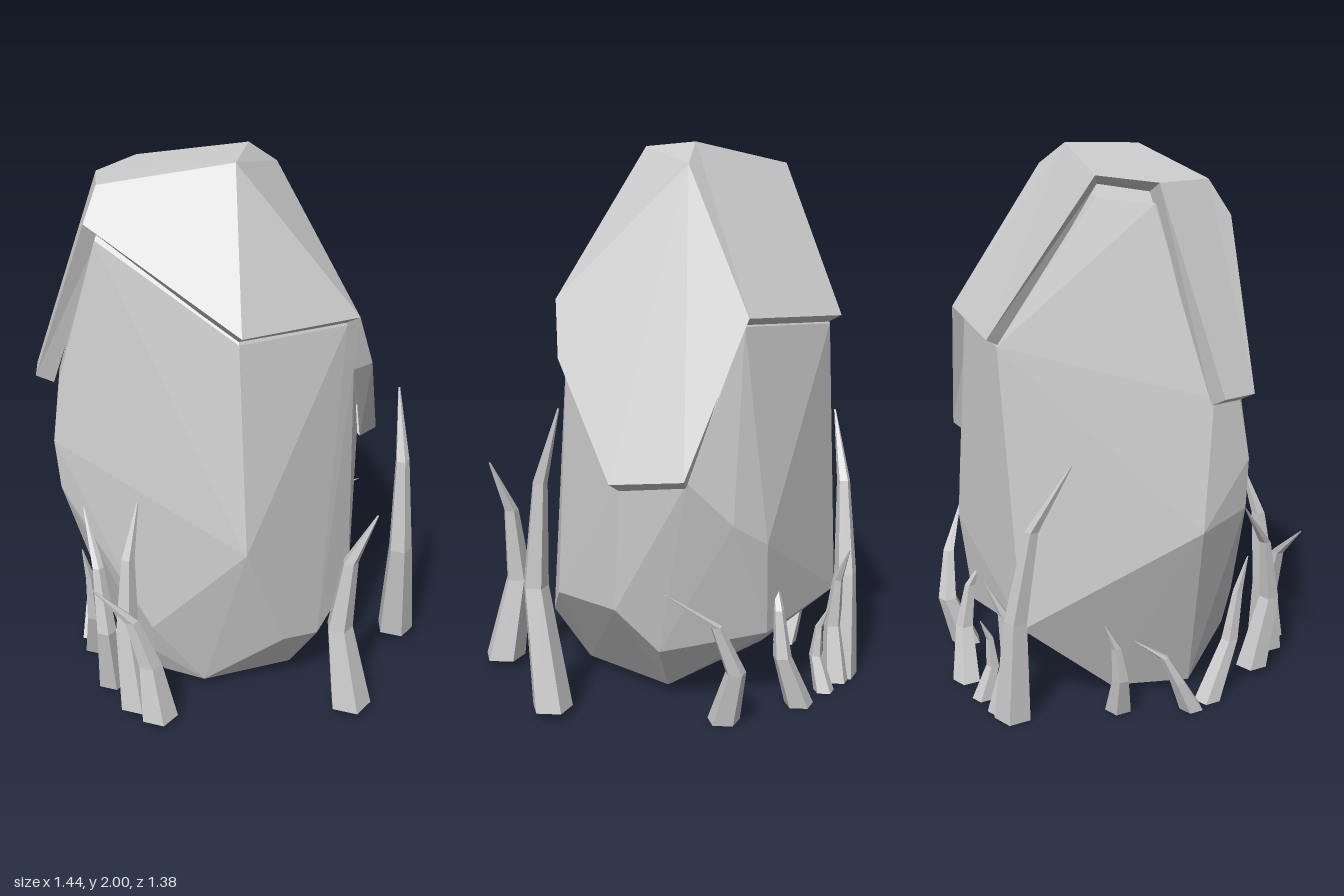
import * as THREE from 'three';
import { ConvexGeometry } from 'three/addons/geometries/ConvexGeometry.js';

const V = (x, y, z) => new THREE.Vector3(x, y, z);
const material = new THREE.MeshStandardMaterial({ color: 0xcccccc, flatShading: true });
const capMaterial = new THREE.MeshStandardMaterial({ color: 0xcccccc, flatShading: true, side: THREE.DoubleSide });

// Corners of the slab that covers the top of the boulder
const cap = {
  A: V(-0.02, 1.99, 0.14), B: V(0.105, 2.0, -0.11), C: V(0.22, 1.92, -0.13),
  D: V(-0.475, 1.91, -0.01), D2: V(-0.435, 1.91, -0.21), E: V(-0.26, 1.93, -0.33),
  F: V(-0.535, 1.79, 0.04), G: V(-0.09, 1.47, 0.445), H: V(0.39, 1.45, 0.31),
  I: V(0.465, 1.25, 0.265), J: V(0.61, 0.85, 0), K: V(0.597, 0.88, -0.27),
  L: V(0.39, 1.41, -0.42), M: V(-0.03, 1.39, -0.62),
  P: V(-0.72, 1.22, -0.04), P2: V(-0.695, 1.22, -0.165),
};
const capFaces = ['A B E D2 D', 'A D F G', 'A G H', 'A H C', 'A C B', 'C H I J K L', 'B C L M E', 'D D2 P2 P F'];
const capRim = 'F G H I J K L M E D2 P2 P'.split(' ');
const centre = V(-0.05, 1, -0.08);

// Rim corner moved in and down, giving the slab its thickness
function inner(p) {
  const inward = V(centre.x - p.x, 0, centre.z - p.z).setLength(0.065);
  return p.clone().add(inward).add(V(0, -0.035, 0));
}

function makeCap() {
  const points = [];
  const polygon = (c) => {
    for (let i = 1; i < c.length - 1; i++) points.push(c[0], c[i], c[i + 1]);
  };
  capFaces.forEach((f) => polygon(f.split(' ').map((k) => cap[k])));
  capRim.forEach((k, i) => {
    const a = cap[k], b = cap[capRim[(i + 1) % capRim.length]];
    polygon([a, inner(a), inner(b), b]);
  });
  const g = new THREE.BufferGeometry().setFromPoints(points);
  g.computeVertexNormals();
  return new THREE.Mesh(g, capMaterial);
}

// Boulder: convex stone with its top tucked just under the slab
function makeBoulder() {
  const top = 'A B C D D2 E F G H L M'.split(' ').map((k) => cap[k].clone().lerp(centre, 0.08));
  const sides = [
    [-0.1, 0.69, 0.545], [0.065, 0.27, 0.49], [0.22, 0.23, 0.43], [0.385, 0.36, 0.32],
    [0.39, 1.25, 0.27], [0.51, 0.37, 0.03], [0.53, 0.85, 0.0], [0.52, 0.86, -0.25],
    [0.43, 0.7, -0.385], [0.44, 0.21, -0.11], [0.33, 0.62, -0.475],
    [0.28, 0.28, -0.46], [-0.14, 0.34, -0.585],
    [-0.64, 1.2, -0.02], [-0.62, 1.2, -0.13], [-0.675, 0.97, 0.0],
    [-0.66, 0.78, 0.01], [-0.63, 0.73, -0.18], [-0.39, 0.28, 0.29], [-0.38, 0.15, 0.25],
  ].map((p) => V(...p));
  const base = [
    [0.155, 0.31], [-0.2, 0.33], [-0.33, 0.22], [-0.44, -0.02], [-0.26, -0.255], [0.3, -0.085],
  ].map(([x, z]) => V(x, 0.03, z));
  return new THREE.Mesh(new ConvexGeometry([...top, ...sides, ...base]), material);
}

// Grass blade: five-sided tapering stalk, bowed low down and leaning to its tip
const rise = [0, 0.4, 0.75, 1];
const lean = [0, 0.15, 0.42, 1];
const bow = [0, 1, 0.8, 0];
const taper = [1, 0.63, 0.37, 0.05];

function makeBlade([size, x, z, tipX, tipY, tipZ, bowX, bowZ]) {
  const g = new THREE.CylinderGeometry(1, 1, 1, 5, 3);
  const pos = g.attributes.position;
  const foot = z > 0 ? 0.03 : 0;
  for (let i = 0; i < pos.count; i++) {
    const k = Math.round((pos.getY(i) + 0.5) * 3);
    const r = size * taper[k];
    pos.setXYZ(
      i,
      x + (tipX - x) * lean[k] + bowX * bow[k] + pos.getX(i) * r,
      foot + (tipY - foot) * rise[k],
      z + (tipZ - z) * lean[k] + bowZ * bow[k] + pos.getZ(i) * r,
    );
  }
  g.computeVertexNormals();
  return new THREE.Mesh(g, material);
}

// Each blade: thickness, foot x z, tip x y z, bow x z
const blades = [
  // beside and in front of the stone
  [0.075, 0.645, 0.215, 0.615, 1.1, 0.185, -0.03, 0.08],
  [0.08, 0.285, 0.62, 0.36, 0.82, 0.62, -0.045, -0.05],
  // right front cluster
  [0.07, -0.42, 0.49, -0.63, 0.56, 0.4, 0.01, -0.02],
  [0.07, -0.48, 0.4, -0.43, 0.82, 0.28, -0.03, -0.03],
  [0.06, -0.54, 0.24, -0.595, 0.73, 0.1, -0.02, 0.08],
  [0.05, -0.55, -0.04, -0.61, 0.55, 0.1, -0.01, 0.08],
  // along the back
  [0.06, 0.45, -0.36, 0.64, 0.5, -0.22, 0.01, -0.08],
  [0.055, 0.21, -0.56, 0.2, 0.48, -0.46, 0.06, 0.03],
  [0.04, 0.06, -0.61, 0.05, 0.32, -0.62, -0.015, 0.04],
  [0.055, -0.06, -0.62, -0.04, 0.52, -0.67, -0.03, 0.03],
  [0.07, -0.12, -0.62, -0.33, 0.99, -0.52, 0, -0.02],
  [0.05, -0.36, -0.32, -0.39, 0.38, -0.42, -0.04, -0.02],
  [0.045, -0.55, -0.13, -0.45, 0.31, -0.33, 0, -0.03],
];

export function createModel() {
  const model = new THREE.Group();
  model.name = 'boulderWithGrass';
  const boulder = makeBoulder();
  boulder.name = 'boulder';
  const slab = makeCap();
  slab.name = 'topSlab';
  const grass = new THREE.Group();
  grass.name = 'grass';
  blades.forEach((spec) => {
    const blade = makeBlade(spec);
    blade.name = 'grassBlade';
    grass.add(blade);
  });
  model.add(boulder, slab, grass);
  return model;
}
